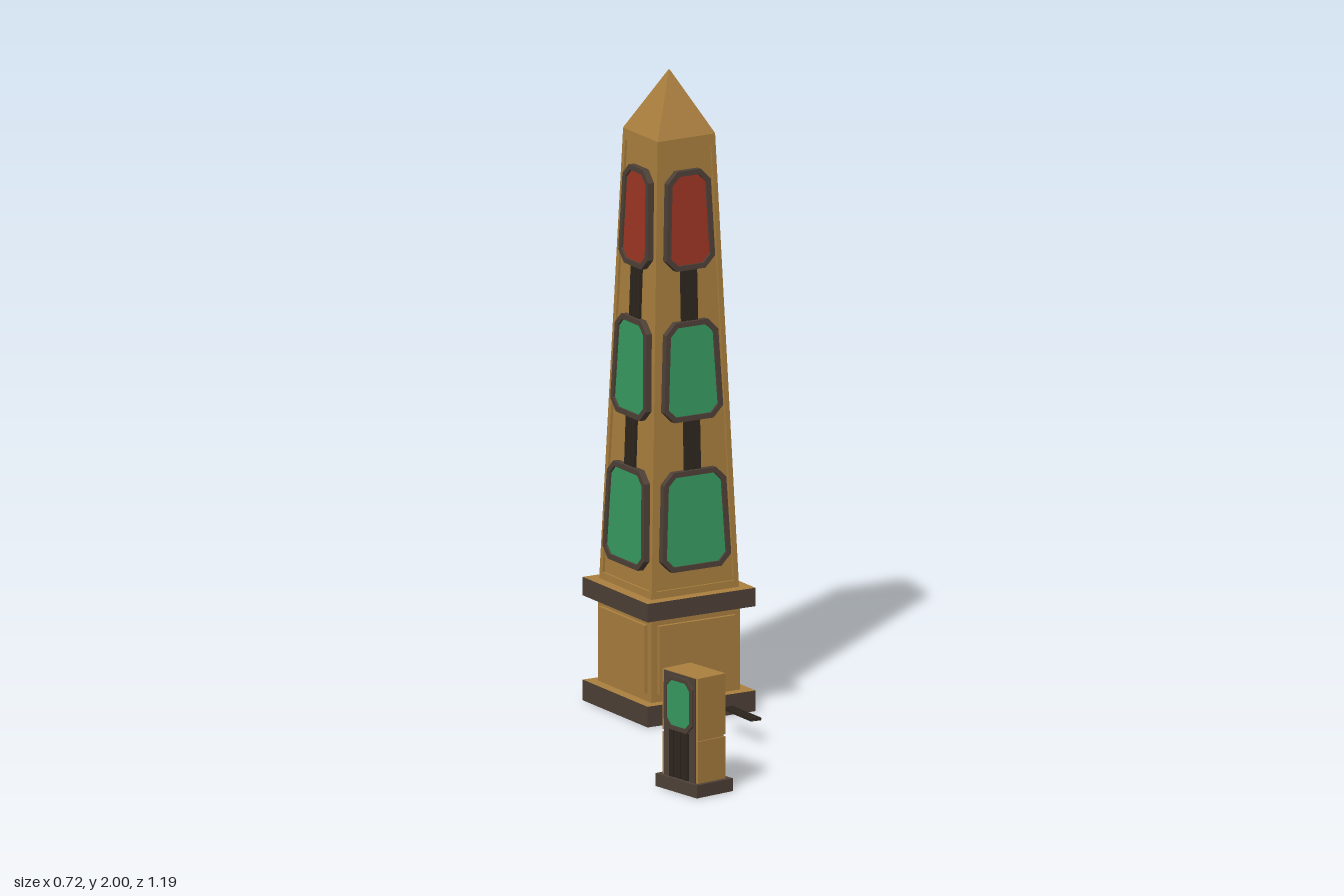
import * as THREE from 'three';

const mat = (name, color) => {
  const m = new THREE.MeshStandardMaterial({ color });
  m.name = name;
  return m;
};

export function createModel() {
  const gold = mat('ochre stone', 0xaa7f3e);
  const dark = mat('dark brown trim', 0x4e4137);
  const black = mat('near black bars', 0x2e261e);
  const green = mat('green inlay', 0x389a60);
  const red = mat('red inlay', 0x9e3624);
  const banded = [dark, dark, gold, gold, dark, dark]; // dark sides, stone top and bottom

  const add = (parent, name, geo, material, x = 0, y = 0, z = 0) => {
    const m = new THREE.Mesh(geo, material);
    m.name = name;
    m.position.set(x, y, z);
    parent.add(m);
    return m;
  };
  // box resting on height y0
  const box = (parent, name, material, w, y0, y1, d, x = 0, z = 0) =>
    add(parent, name, new THREE.BoxGeometry(w, y1 - y0, d), material, x, (y0 + y1) / 2, z);

  // flat-sided square frustum with half-widths at bottom and top
  const frustum = (bottom, top, h) => {
    const g = new THREE.CylinderGeometry(top * Math.SQRT2, bottom * Math.SQRT2, h, 4);
    g.rotateY(Math.PI / 4);
    const flat = g.toNonIndexed();
    flat.computeVertexNormals();
    return flat;
  };

  // trapezoid outline with cut corners; b and t are the half-widths at the ends
  const outline = (b, t, y0, y1, c = 0) => {
    const p = c > 0
      ? [[-b + c, y0], [b - c, y0], [b, y0 + c], [t, y1 - c], [t - c, y1], [-t + c, y1], [-t, y1 - c], [-b, y0 + c]]
      : [[-b, y0], [b, y0], [t, y1], [-t, y1]];
    return p.map(([x, y]) => new THREE.Vector2(x, y));
  };
  const plate = (points, depth, hole) => {
    const s = new THREE.Shape(points);
    if (hole) s.holes.push(new THREE.Path(hole));
    return new THREE.ExtrudeGeometry(s, { depth, bevelEnabled: false });
  };

  // cut-corner frame holding a coloured inlay
  const framedInlay = (parent, material, b, t, y0, y1, z, depth, w = 0.016, c = 0.035) => {
    const inner = outline(b - w, t - w, y0 + w, y1 - w, c - w * 0.55);
    add(parent, 'inlayFrame', plate(outline(b, t, y0, y1, c), depth, inner), dark, 0, 0, z);
    add(parent, 'inlay', plate(inner, depth * 0.65), material, 0, 0, z);
  };

  // three ridged bars, running along y
  const bars = (parent, y0, y1, z, w = 0.058) => {
    box(parent, 'barBacking', black, w, y0, y1, 0.006, 0, z);
    for (const i of [-1, 0, 1])
      box(parent, 'bar', black, w * 0.22, y0, y1, 0.012, i * w * 0.36, z);
  };

  const model = new THREE.Group();
  model.name = 'obeliskSet';

  // ---- obelisk ----
  const obelisk = new THREE.Group();
  obelisk.name = 'obelisk';
  obelisk.position.set(0.17, 0, -0.407);
  model.add(obelisk);

  box(obelisk, 'plinth', banded, 0.383, 0, 0.065, 0.383);
  box(obelisk, 'pedestal', gold, 0.315, 0.065, 0.33, 0.315);
  box(obelisk, 'pedestalCap', banded, 0.383, 0.33, 0.388, 0.383);

  const Y0 = 0.388, Y1 = 1.81, B = 0.155, T = 0.102, RECESS = 0.008;
  add(obelisk, 'shaftCore', frustum(B - RECESS, T - RECESS, Y1 - Y0), gold, 0, (Y0 + Y1) / 2, 0);
  add(obelisk, 'pyramidTip', frustum(T, 0.002, 2 - Y1), gold, 0, (2 + Y1) / 2, 0);

  for (let i = 0; i < 4; i++) {
    const side = new THREE.Group();
    side.name = 'obeliskSide';
    side.rotation.y = i * Math.PI / 2;
    obelisk.add(side);
    box(side, 'pedestalPanel', gold, 0.27, 0.09, 0.305, 0.02, 0, 0.159);

    // leaning face of the shaft
    const face = new THREE.Group();
    face.name = 'shaftFace';
    face.position.set(0, Y0, B);
    face.rotation.x = -Math.atan((B - T) / (Y1 - Y0));
    side.add(face);
    const up = y => y - Y0;
    add(face, 'shaftBorder', plate(outline(B, T, 0, Y1 - Y0), RECESS,
      outline(B - 0.018, T - 0.014, up(0.41), up(1.775))), gold, 0, 0, -RECESS);
    framedInlay(face, green, 0.122, 0.11, up(0.465), up(0.775), -RECESS, 0.021);
    framedInlay(face, green, 0.104, 0.092, up(0.93), up(1.24), -RECESS, 0.021);
    framedInlay(face, red, 0.086, 0.076, up(1.4), up(1.71), -RECESS, 0.021);
    bars(face, up(0.77), up(0.935), -0.003);
    bars(face, up(1.235), up(1.405), -0.003);
  }

  // ---- small pillar ----
  const pillar = new THREE.Group();
  pillar.name = 'smallPillar';
  pillar.position.set(-0.277, 0, 0.485);
  pillar.rotation.y = 0.15;
  model.add(pillar);
  // hollow foot
  const foot = plate(outline(0.0715, 0.0715, -0.099, 0.099), 0.04, outline(0.05, 0.05, -0.077, 0.077));
  foot.rotateX(-Math.PI / 2);
  add(pillar, 'pillarFoot', foot, dark);
  box(pillar, 'pillarLower', gold, 0.11, 0.038, 0.172, 0.168);
  box(pillar, 'pillarJoint', gold, 0.1, 0.172, 0.179, 0.158);
  box(pillar, 'pillarUpper', gold, 0.11, 0.179, 0.37, 0.168);
  // decorated face
  const front = new THREE.Group();
  front.name = 'pillarFace';
  front.rotation.y = -Math.PI / 2;
  pillar.add(front);
  box(front, 'pillarFacing', dark, 0.15, 0.04, 0.368, 0.004, 0, 0.056);
  framedInlay(front, green, 0.068, 0.068, 0.19, 0.36, 0.057, 0.008, 0.014, 0.028);
  bars(front, 0.042, 0.19, 0.058, 0.09);

  // ---- loose bar strip lying level ----
  const strip = new THREE.Group();
  strip.name = 'looseStrip';
  strip.position.set(0.163, 0.075, 0.035);
  strip.rotation.x = -Math.PI / 2;
  model.add(strip);
  box(strip, 'stripBacking', black, 0.036, -0.084, 0.084, 0.004);
  for (const i of [-1, 0, 1])
    box(strip, 'stripBar', black, 0.008, -0.084, 0.084, 0.009, i * 0.013, 0);

  return model;
}
